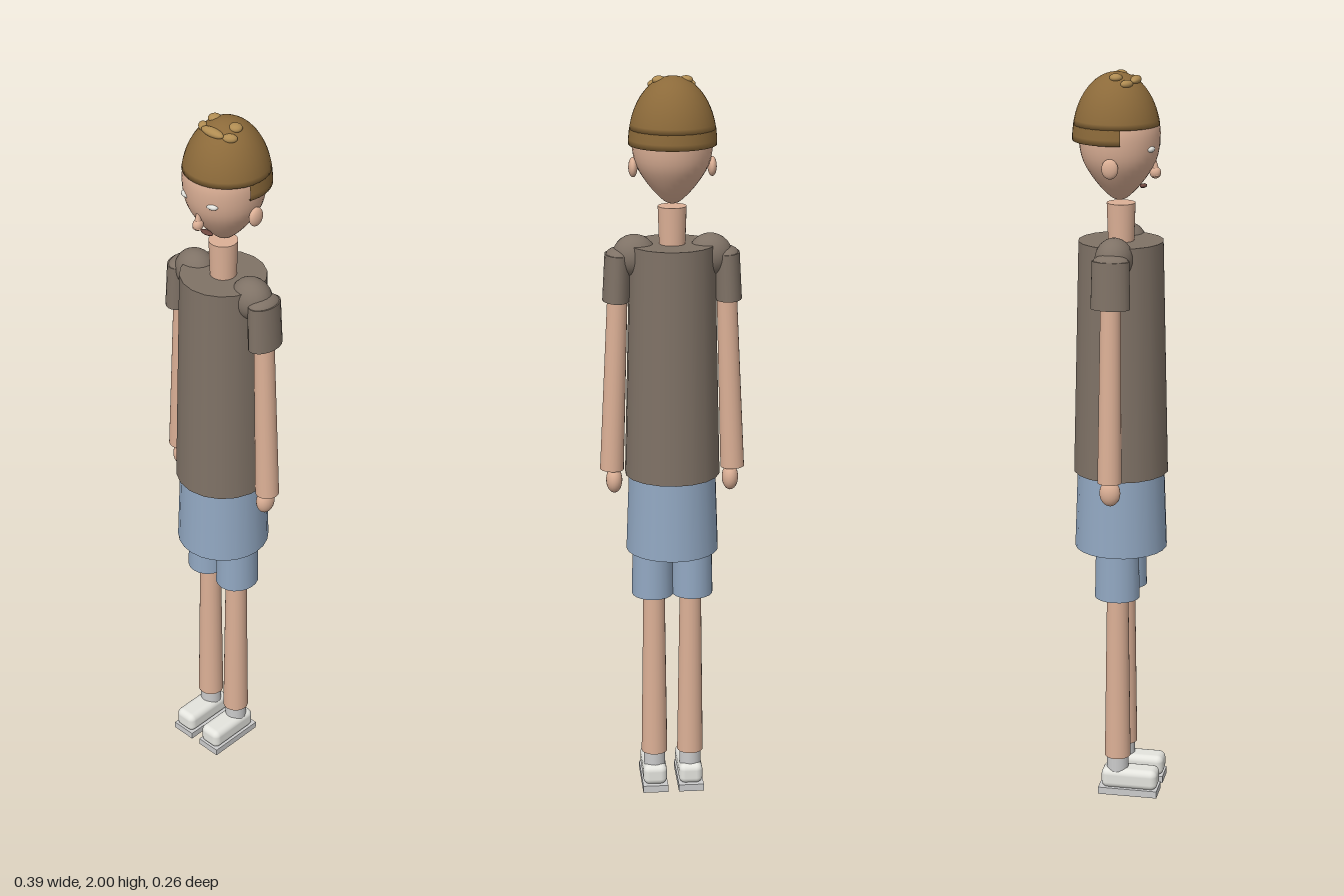
import * as THREE from 'three';
import { RoundedBoxGeometry } from 'three/addons/geometries/RoundedBoxGeometry.js';

const material = (color) => new THREE.MeshStandardMaterial({ color });
const skin = material(0xdcb096);
const shirt = material(0x7f7266);
const denim = material(0x92a8c2);
const hairBrown = material(0x8c6a3a);
hairBrown.side = THREE.DoubleSide;
const hairLight = material(0xb08c52);
const white = material(0xe4e4de);
const sockGrey = material(0xc8c8c4);
const lip = material(0x6e4840);

export function createModel() {
  const model = new THREE.Group();
  model.name = 'standingFigure';

  const add = (name, geometry, mat, x = 0, y = 0, z = 0) => {
    const mesh = new THREE.Mesh(geometry, mat);
    mesh.name = name;
    mesh.position.set(x, y, z);
    model.add(mesh);
    return mesh;
  };

  const ellipsoid = (name, mat, [x, y, z], [rx, ry, rz]) => {
    const mesh = add(name, new THREE.SphereGeometry(1, 20, 14), mat, x, y, z);
    mesh.scale.set(rx, ry, rz);
    return mesh;
  };

  // Tapered round section between two points in the x-y plane
  const limb = (name, mat, [x0, y0], [x1, y1], rTop, rBottom, sides = 20) => {
    const length = Math.hypot(x1 - x0, y1 - y0);
    const mesh = add(name, new THREE.CylinderGeometry(rTop, rBottom, length, sides), mat,
      (x0 + x1) / 2, (y0 + y1) / 2, 0);
    mesh.rotation.z = Math.atan2(x1 - x0, y0 - y1);
    return mesh;
  };

  const lathe = (name, points, mat, z = 0, start = 0, sweep = Math.PI * 2) =>
    add(name, new THREE.LatheGeometry(points.map(([r, y]) => new THREE.Vector2(r, y)), 32, start, sweep), mat, 0, 0, z);

  // Torso, shorts and neck
  limb('shirtBody', shirt, [0, 1.56], [0, 0.93], 0.113, 0.128, 18);
  limb('shorts', denim, [0, 0.94], [0, 0.715], 0.117, 0.125, 24);
  limb('neck', skin, [0, 1.66], [0, 1.54], 0.038, 0.034);

  // Head tapering to the chin
  const jaw = new THREE.SplineCurve([
    [0, 1.667], [0.022, 1.675], [0.06, 1.714], [0.095, 1.77],
    [0.106, 1.83], [0.1, 1.88], [0.07, 1.94], [0, 1.97],
  ].map(([r, y]) => new THREE.Vector2(r, y))).getPoints(28);
  lathe('head', jaw.map((p) => [Math.max(p.x, 0), p.y]), skin, -0.004);

  // Hair: a dome, with a lower band round the sides and back
  const hairZ = -0.012;
  const hairRadius = (y) => 0.115 * Math.sqrt(Math.max(0, 1 - ((y - 1.83) / 0.17) ** 2));
  const dome = [[0.098, 1.865]];
  for (let i = 0; i <= 16; i++) {
    const a = 0.207 + (Math.PI / 2 - 0.207) * (i / 16);
    dome.push([0.115 * Math.cos(a), 1.83 + 0.17 * Math.sin(a)]);
  }
  lathe('hairDome', dome, hairBrown, hairZ);
  const band = [[0.1, 1.825], [0.115, 1.825], [0.115, 1.84], [hairRadius(1.866), 1.866]];
  const gap = 1.3;
  lathe('hairBackBand', band, hairBrown, hairZ, gap, Math.PI * 2 - 2 * gap);

  // Curls resting on the crown
  const curl = (x, z, rx, rz, turn) => {
    const d = Math.hypot(x, z - hairZ) / 0.115;
    const y = 1.83 + 0.17 * Math.sqrt(1 - d * d);
    const mesh = ellipsoid('curl', hairLight, [x, y - 0.003, z], [rx, 0.011, rz]);
    mesh.rotation.y = turn;
  };
  curl(0, 0.038, 0.036, 0.014, 0);

  // Face
  const nose = add('nose', new THREE.ConeGeometry(0.012, 0.075, 14), skin, 0, 1.77, 0.088);
  nose.rotation.x = -0.12;
  ellipsoid('noseTip', skin, [0, 1.742, 0.09], [0.013, 0.016, 0.015]);
  ellipsoid('mouth', lip, [0, 1.706, 0.059], [0.02, 0.005, 0.009]);

  for (const s of [1, -1]) {
    curl(s * 0.035, -0.007, 0.018, 0.017, 0);
    curl(s * 0.045, 0.023, 0.019, 0.013, s * 0.6);
    ellipsoid('eye', white, [s * 0.043, 1.81, 0.084], [0.018, 0.009, 0.012]);
    ellipsoid('ear', skin, [s * 0.103, 1.765, -0.01], [0.012, 0.026, 0.022]);

    // Arms
    ellipsoid('shoulder', shirt, [s * 0.1, 1.53, 0], [0.058, 0.056, 0.05]);
    limb('sleeve', shirt, [s * 0.144, 1.535], [s * 0.149, 1.41], 0.034, 0.036).scale.z = 1.45;
    ellipsoid('sleeveCap', shirt, [s * 0.142, 1.53, 0], [0.034, 0.022, 0.048]);
    limb('arm', skin, [s * 0.142, 1.5], [s * 0.163, 0.943], 0.026, 0.032);
    ellipsoid('hand', skin, [s * 0.157, 0.912, 0], [0.022, 0.036, 0.028]);

    // Legs
    limb('shortsLeg', denim, [s * 0.054, 0.74], [s * 0.054, 0.583], 0.054, 0.057).scale.z = 1.08;
    limb('leg', skin, [s * 0.05, 0.62], [s * 0.05, 0.11], 0.029, 0.036);
    limb('sock', sockGrey, [s * 0.05, 0.115], [s * 0.05, 0.05], 0.03, 0.03);

    // Shoes
    add('shoeUpper', new RoundedBoxGeometry(0.066, 0.058, 0.157, 4, 0.018), white, s * 0.05, 0.046, 0.036);
    add('shoeSole', new THREE.BoxGeometry(0.07, 0.02, 0.165), sockGrey, s * 0.05, 0.01, 0.033);
  }

  return model;
}
